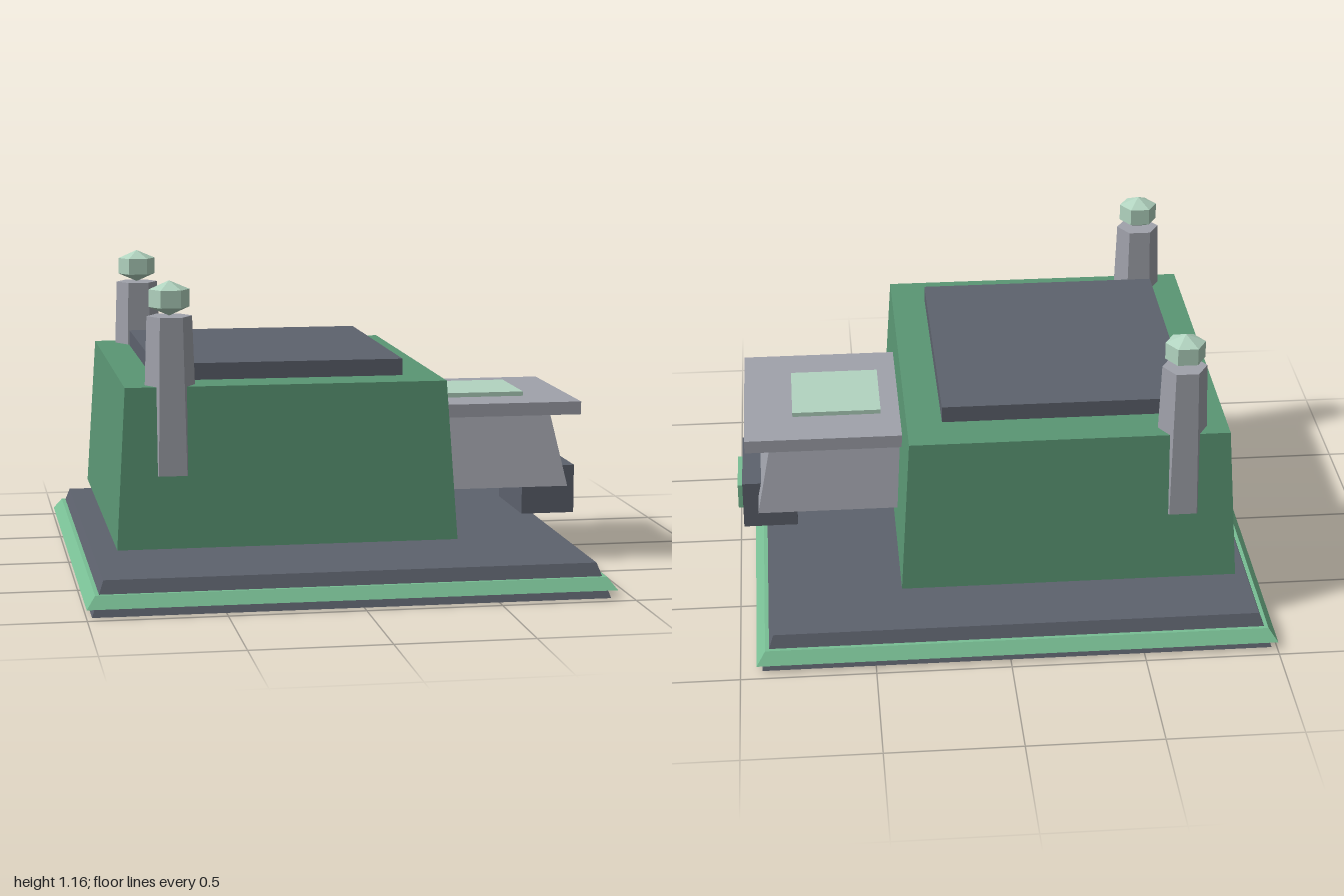
import * as THREE from 'three';

const paint = (name, color) => {
  const m = new THREE.MeshStandardMaterial({ color, flatShading: true });
  m.name = name;
  return m;
};

export function createModel() {
  const model = new THREE.Group();
  model.name = 'building';
  const green = paint('wallGreen', 0x5a9674);
  const trim = paint('trimGreen', 0x78be94);
  const glass = paint('paleGreen', 0xb2d4c0);
  const slate = paint('slate', 0x5d626d);
  const stone = paint('stone', 0xa0a2ab);

  const add = (name, geometry, material, x, y, z) => {
    const mesh = new THREE.Mesh(geometry, material);
    mesh.name = name;
    mesh.position.set(x, y, z);
    model.add(mesh);
    return mesh;
  };

  // Block from y0 to y1 with half sizes hx, hz, its top drawn in by taper
  const block = (name, material, x, y0, y1, hx, hz, taper = 0) => {
    const g = new THREE.BoxGeometry(2 * hx, y1 - y0, 2 * hz);
    const p = g.attributes.position;
    for (let i = 0; i < p.count; i++) {
      if (p.getY(i) < 0) continue;
      p.setX(i, p.getX(i) - Math.sign(p.getX(i)) * taper);
      p.setZ(i, p.getZ(i) - Math.sign(p.getZ(i)) * taper);
    }
    g.computeVertexNormals();
    return add(name, g, material, x, (y0 + y1) / 2, 0);
  };

  // Sloped base with a bright band round it
  block('base', slate, -0.03, 0, 0.125, 0.95, 0.95, 0.045);
  block('baseBand', trim, -0.03, 0.033, 0.077, 0.97, 0.97, 0.033);

  // Main hall, raised above the base
  block('hall', green, -0.24, 0.195, 0.783, 0.63, 0.735, 0.037);
  block('hallRoof', slate, -0.242, 0.78, 0.845, 0.463, 0.527);

  // Side annex with overhanging roof and skylight
  block('annex', stone, 0.605, 0.303, 0.592, 0.315, 0.315, 0.06);
  block('annexRoof', stone, 0.605, 0.59, 0.64, 0.355, 0.355);
  block('skylight', glass, 0.605, 0.635, 0.657, 0.17, 0.17);

  // Entrance box with a lit panel
  block('entrance', slate, 0.875, 0.173, 0.363, 0.105, 0.19);
  block('entrancePanel', trim, 0.985, 0.218, 0.317, 0.015, 0.117);

  // Hexagonal pillars with faceted lamps
  const lampProfile = [[0, -0.064], [0.074, -0.032], [0.074, 0.032], [0, 0.064]]
    .map(([r, y]) => new THREE.Vector2(r, y));
  for (const side of [1, -1]) {
    add('pillar', new THREE.CylinderGeometry(0.083, 0.103, 0.575, 6, 1, false, Math.PI / 2),
      stone, -0.663, 0.7475, side * 0.635);
    add('pillarLamp', new THREE.LatheGeometry(lampProfile, 6, Math.PI / 2),
      glass, -0.663, 1.1, side * 0.635);
  }
  return model;
}
